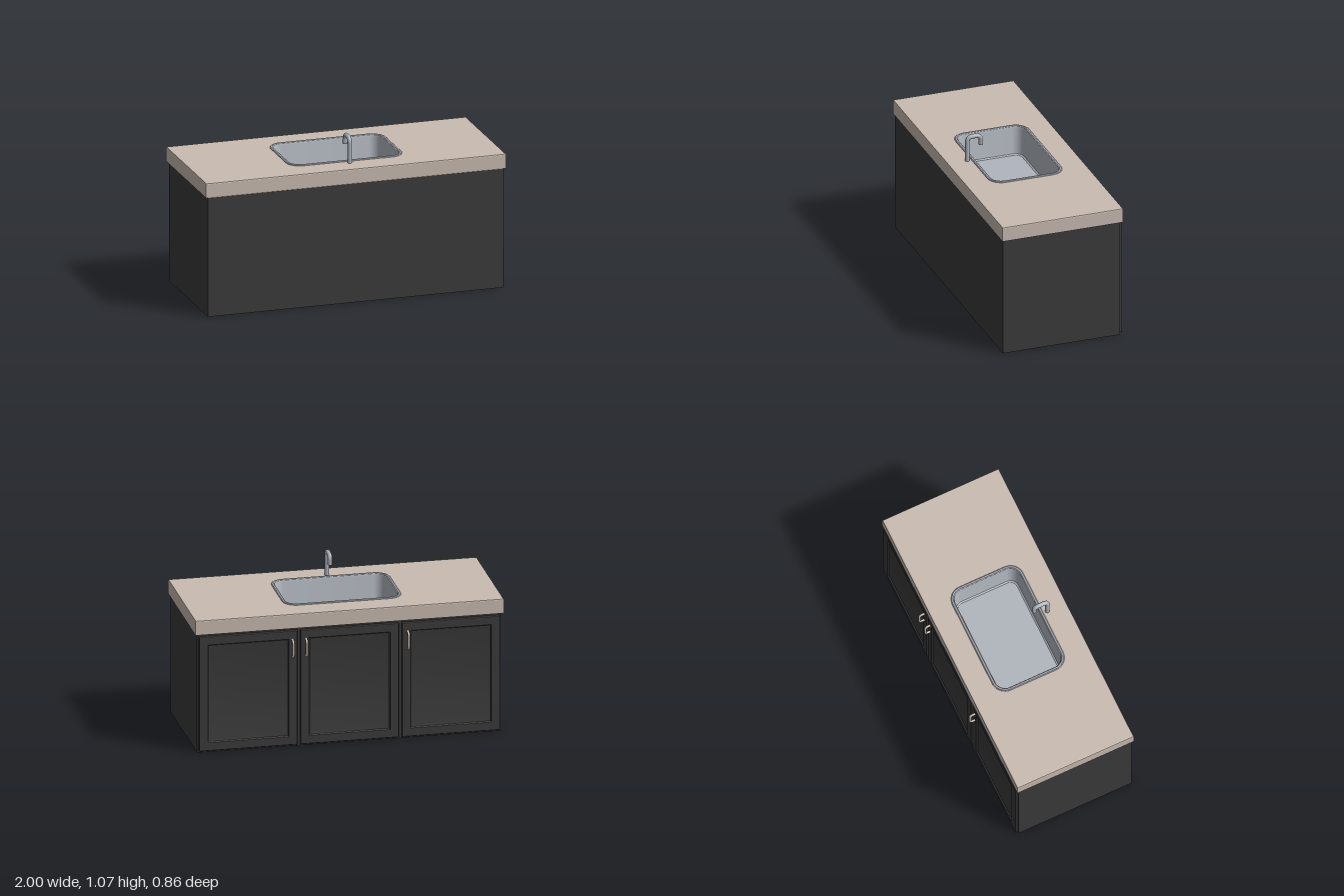
import * as THREE from 'three';
import { toCreasedNormals } from 'three/addons/utils/BufferGeometryUtils.js';

const makeMaterial = (name, color) => {
  const m = new THREE.MeshStandardMaterial({ color });
  m.name = name;
  return m;
};

function addMesh(parent, name, geometry, material, x = 0, y = 0, z = 0) {
  const mesh = new THREE.Mesh(geometry, material);
  mesh.name = name;
  mesh.position.set(x, y, z);
  parent.add(mesh);
  return mesh;
}

// Points [x, z] of a rectangle; steps > 0 rounds the corners
function rectLoop(hw, hd, r, steps) {
  const pts = [];
  for (let c = 0; c < 4; c++) {
    const sx = c === 0 || c === 3 ? 1 : -1;
    const sz = c < 2 ? 1 : -1;
    for (let i = 0; i <= steps; i++) {
      const a = (c + (steps ? i / steps : 0)) * Math.PI / 2;
      pts.push(steps
        ? [sx * (hw - r) + r * Math.cos(a), sz * (hd - r) + r * Math.sin(a)]
        : [sx * hw, sz * hd]);
    }
  }
  return pts;
}

// Joins rectangles given as [inset, height], outermost first, and closes the last
function insetLoft(hw, hd, r, steps, profile) {
  const pos = [], idx = [];
  const n = 4 * (steps + 1);
  profile.forEach(([d, y], k) => {
    for (const [x, z] of rectLoop(hw - d, hd - d, Math.max(r - d, 0.01), steps)) pos.push(x, y, z);
    if (k === 0) return;
    for (let i = 0; i < n; i++) {
      const j = (i + 1) % n, a = (k - 1) * n, b = k * n;
      idx.push(a + i, b + i, a + j, b + i, b + j, a + j);
    }
  });
  const last = (profile.length - 1) * n, centre = pos.length / 3;
  pos.push(0, profile[profile.length - 1][1], 0);
  for (let i = 0; i < n; i++) idx.push(last + i, centre, last + (i + 1) % n);
  const g = new THREE.BufferGeometry();
  g.setAttribute('position', new THREE.Float32BufferAttribute(pos, 3));
  g.setIndex(idx);
  return toCreasedNormals(g, 0.5);
}

// Round pipe through points with bent corners
function bentPipe(points, radius, bend) {
  const p = points.map((q) => new THREE.Vector3(...q));
  const path = new THREE.CurvePath();
  let from = p[0];
  for (let i = 1; i < p.length - 1; i++) {
    const before = p[i].clone().add(p[i - 1].clone().sub(p[i]).setLength(bend));
    const after = p[i].clone().add(p[i + 1].clone().sub(p[i]).setLength(bend));
    path.add(new THREE.LineCurve3(from, before));
    path.add(new THREE.QuadraticBezierCurve3(before, p[i], after));
    from = after;
  }
  path.add(new THREE.LineCurve3(from, p[p.length - 1]));
  return new THREE.TubeGeometry(path, 60, radius, 14, false);
}

export function createModel() {
  const stone = makeMaterial('beige stone', 0xc9bbb1);
  const paint = makeMaterial('charcoal paint', 0x3b3b3b);
  const steel = makeMaterial('brushed steel', 0xb0b5bd);
  const pull = makeMaterial('warm metal', 0xcdbfb5);
  const model = new THREE.Group();
  model.name = 'sinkCabinet';

  // Cabinet carcass, open at the top so the basin hangs inside
  const cabinet = new THREE.Group();
  cabinet.name = 'cabinet';
  model.add(cabinet);
  const board = (name, w, h, d, x, y, z) =>
    addMesh(cabinet, name, new THREE.BoxGeometry(w, h, d), paint, x, y, z);
  board('bottomBoard', 1.97, 0.02, 0.79, 0, 0.01, 0.025);
  board('frontBoard', 1.97, 0.78, 0.02, 0, 0.41, 0.41);
  board('backBoard', 1.97, 0.78, 0.02, 0, 0.41, -0.36);
  for (const s of [-1, 1]) board('sideBoard', 0.02, 0.78, 0.75, s * 0.975, 0.41, 0.025);

  // Countertop with softened edges and a sink cut-out
  const top = new THREE.Shape(rectLoop(1, 0.408, 0, 0).map(([x, z]) => new THREE.Vector2(x, z)));
  top.holes.push(new THREE.Path(
    rectLoop(0.373, 0.238, 0.08, 8).map(([x, z]) => new THREE.Vector2(x, z))));
  const counter = new THREE.ExtrudeGeometry(top, {
    depth: 0.086, bevelEnabled: true, bevelSize: 0.007, bevelOffset: -0.007,
    bevelThickness: 0.007, bevelSegments: 2,
  });
  counter.rotateX(-Math.PI / 2);
  addMesh(model, 'countertop', counter, stone, 0, 0.797, 0.022);

  // Sink: raised rim, tapered walls and floor
  const sink = insetLoft(0.385, 0.25, 0.092, 8, [
    [0, 0.886], [0.001, 0.893], [0.006, 0.897], [0.016, 0.897], [0.021, 0.893],
    [0.025, 0.88], [0.031, 0.72], [0.035, 0.707], [0.045, 0.70],
  ]);
  addMesh(model, 'sinkBasin', sink, steel, 0, 0, 0.02);

  // Faucet
  const faucet = new THREE.Group();
  faucet.name = 'faucet';
  model.add(faucet);
  addMesh(faucet, 'faucetPipe', bentPipe(
    [[0, 0.885, 0.297], [0, 1.055, 0.297], [0, 1.055, 0.205], [0, 0.99, 0.205]], 0.0145, 0.035), steel);
  const outlet = new THREE.CircleGeometry(0.0145, 14).rotateX(Math.PI / 2);
  addMesh(faucet, 'faucetOutlet', outlet, steel, 0, 0.99, 0.205);

  // Panelled doors and their handles
  const doorGeometry = insetLoft(0.319, 0.384, 0, 0, [
    [0, 0], [0, 0.014], [0.003, 0.017], [0.056, 0.017], [0.062, 0.008], [0.074, 0.004],
  ]).rotateX(-Math.PI / 2);
  const handleGeometry = bentPipe(
    [[0, 0.72, -0.38], [0, 0.72, -0.422], [0, 0.608, -0.422], [0, 0.608, -0.38]], 0.008, 0.026);
  for (const [x, handleX] of [[0.657, 0.372], [0, 0.285], [-0.657, -0.376]]) {
    addMesh(model, 'door', doorGeometry, paint, x, 0.396, -0.371);
    addMesh(model, 'doorHandle', handleGeometry, pull, handleX);
  }
  return model;
}
